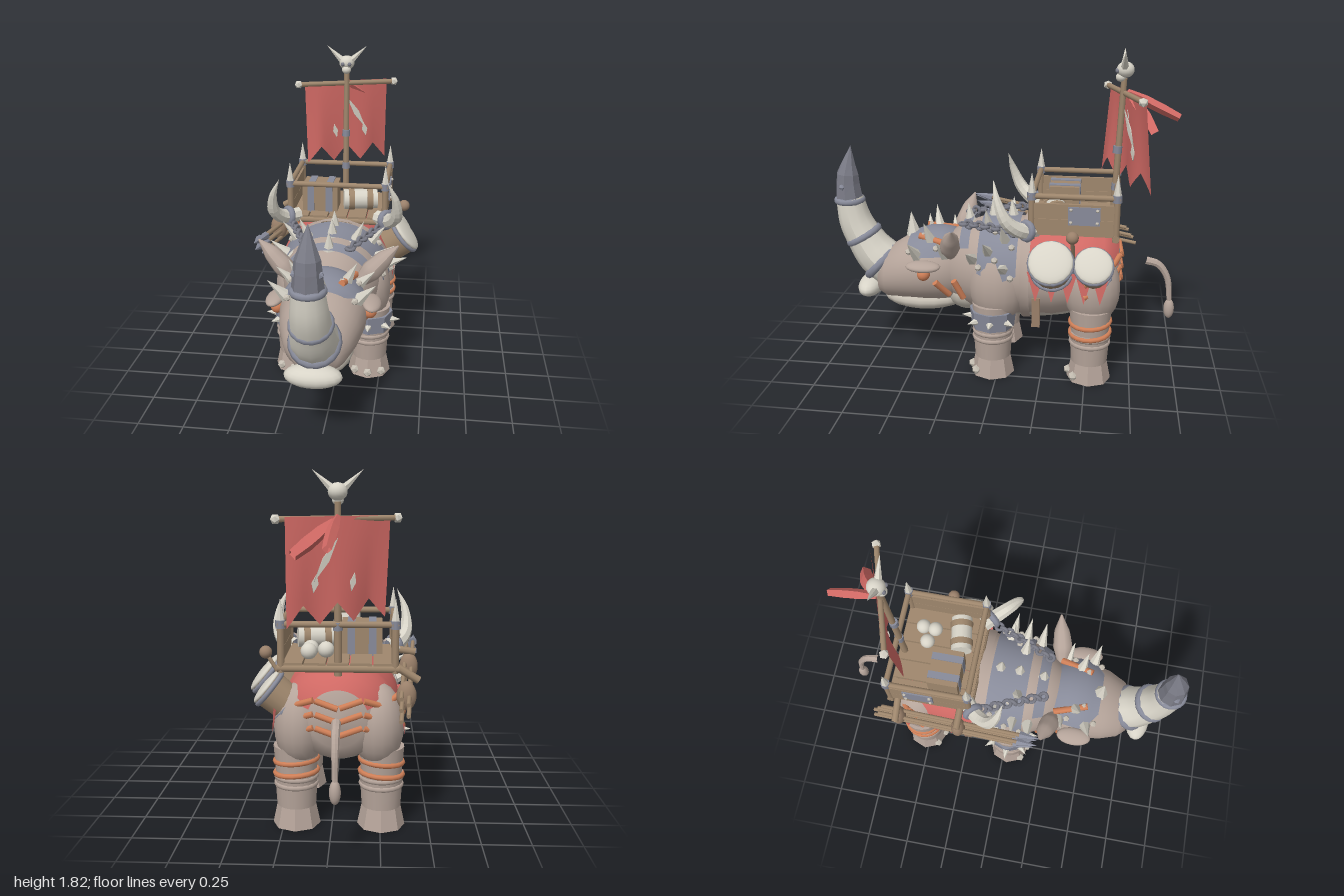
import * as THREE from 'three';

const V = (x, y, z) => new THREE.Vector3(x, y, z);
const paint = (name, color, side = THREE.FrontSide) => {
  const m = new THREE.MeshStandardMaterial({ color, side });
  m.name = name;
  return m;
};

export function createModel() {
  const skin = paint('hide', 0xb5a49a), belly = paint('belly', 0xc6bfb3), bone = paint('bone', 0xd8d4c8);
  const metal = paint('iron', 0x888b9a, THREE.DoubleSide), dark = paint('dark iron', 0x7a7b86);
  const red = paint('red cloth', 0xd06964, THREE.DoubleSide), orange = paint('orange paint', 0xd08058);
  const wood = paint('wood', 0x9f876d), leather = paint('leather', 0x9a806a);

  const root = new THREE.Group();
  root.name = 'warBeast';
  const model = new THREE.Group();
  model.position.x = -0.035;
  root.add(model);

  // ---- helpers ----
  const add = (name, geo, mat, p = V(0, 0, 0), parent = model) => {
    const m = new THREE.Mesh(geo, mat);
    m.name = name;
    m.position.copy(p);
    parent.add(m);
    return m;
  };
  const flat = g => { const f = g.toNonIndexed(); f.computeVertexNormals(); return f; };
  const box = (name, mat, p, w, h, d) => add(name, new THREE.BoxGeometry(w, h, d), mat, p);
  const ball = (name, mat, p, rx, ry = rx, rz = rx) => {
    const m = add(name, new THREE.SphereGeometry(1, 18, 12), mat, p);
    m.scale.set(rx, ry, rz);
    return m;
  };
  const stud = (name, mat, p, r) => add(name, new THREE.IcosahedronGeometry(r, 0), mat, p);
  const rod = (name, mat, a, b, r0, r1 = r0, seg = 8) => {
    const g = new THREE.CylinderGeometry(r1, r0, a.distanceTo(b), seg);
    const m = add(name, seg < 7 ? flat(g) : g, mat, a.clone().lerp(b, 0.5));
    m.quaternion.setFromUnitVectors(V(0, 1, 0), b.clone().sub(a).normalize());
    return m;
  };
  const spike = (name, mat, p, dir, len, r) => rod(name, mat, p, p.clone().addScaledVector(dir, len), r, 0, 6);
  const ring = (name, mat, p, dir, r, t) => {
    const m = add(name, new THREE.TorusGeometry(r, t, 8, 18), mat, p);
    m.quaternion.setFromUnitVectors(V(0, 0, 1), dir.clone().normalize());
    return m;
  };
  const both = fn => [-1, 1].forEach(fn);
  // tapered tube along a curve
  const sweep = (name, mat, pts, radii, seg = 10, n = 16) => {
    const c = new THREE.CatmullRomCurve3(pts), g = new THREE.TubeGeometry(c, n, 1, seg), pos = g.attributes.position;
    for (let i = 0; i < pos.count; i++) {
      const t = Math.floor(i / (seg + 1)) / n, k = t * (radii.length - 1), a = Math.min(Math.floor(k), radii.length - 2);
      const q = c.getPointAt(t);
      const r = THREE.MathUtils.lerp(radii[a], radii[a + 1], k - a);
      pos.setXYZ(i, ...V().fromBufferAttribute(pos, i).sub(q).multiplyScalar(r).add(q).toArray());
    }
    g.computeVertexNormals();
    return add(name, seg < 9 ? flat(g) : g, mat);
  };
  // point on a profile of [z, centre y, half width, half height], angle measured from the top
  const surf = (prof, z, a, d = 0) => {
    let i = 0;
    while (i < prof.length - 2 && prof[i + 1][0] < z) i++;
    const t = THREE.MathUtils.clamp((z - prof[i][0]) / (prof[i + 1][0] - prof[i][0]), 0, 1);
    const [, yc, rx, ry] = prof[i].map((v, k) => THREE.MathUtils.lerp(v, prof[i + 1][k], t));
    return V((rx + d) * Math.sin(a), yc + (ry + d) * Math.cos(a), z);
  };
  const shell = (name, mat, prof, zs, half, d, seg = 24) => {
    const pos = [], idx = [];
    zs.forEach(z => {
      const h = half(z);
      for (let j = 0; j <= seg; j++) pos.push(...surf(prof, z, h * (2 * j / seg - 1), d).toArray());
    });
    for (let i = 0; i < zs.length - 1; i++) for (let j = 0; j < seg; j++) {
      const a = i * (seg + 1) + j, b = a + seg + 1;
      idx.push(a, b, a + 1, b, b + 1, a + 1);
    }
    const g = new THREE.BufferGeometry();
    g.setAttribute('position', new THREE.Float32BufferAttribute(pos, 3));
    g.setIndex(idx);
    g.computeVertexNormals();
    return add(name, g, mat);
  };
  const steps = (a, b, n) => Array.from({ length: n + 1 }, (_, i) => a + (b - a) * i / n);
  const out = (a, z = 0) => V(Math.sin(a), Math.cos(a), z).normalize();

  // ---- body and head ----
  const body = [[-.68, .6, .01, .01], [-.665, .6, .14, .14], [-.62, .6, .22, .21], [-.5, .6, .275, .25], [-.3, .58, .3, .275],
    [-.05, .58, .305, .285], [.12, .58, .28, .275], [.22, .58, .23, .24], [.34, .57, .16, .17], [.4, .56, .01, .01]];
  const head = [[.2, .56, .01, .01], [.23, .56, .16, .16], [.28, .56, .2, .2], [.36, .56, .228, .212], [.45, .555, .235, .21],
    [.58, .53, .21, .185], [.68, .5, .17, .15], [.73, .48, .12, .11], [.76, .47, .01, .01]];
  shell('torso', skin, body, body.map(s => s[0]), () => Math.PI, 0, 32);
  shell('head', skin, head, head.map(s => s[0]), () => Math.PI, 0, 32);
  ball('bellyPatch', belly, V(0, .44, -.18), .22, .155, .4);
  ball('throat', belly, V(0, .43, .2), .18, .13, .14);
  ball('lowerJaw', belly, V(0, .365, .47), .17, .075, .25);
  ball('noseLip', bone, V(0, .405, .8), .15, .06, .075);
  both(s => {
    ball('eye', orange, V(s * .25, .585, .42), .037);
    const lid = ball('eyelid', skin, V(s * .26, .635, .42), .052, .026, .1);
    lid.rotation.z = -s * .2;
    sweep('ear', skin, [V(s * .17, .68, .28), V(s * .25, .76, .265), V(s * .32, .83, .245), V(s * .385, .89, .23)], [.03, .058, .046, .004], 10);
    rod('cheekStripe', orange, surf(head, .36, s * 1.7, .006), surf(head, .29, s * 2.2, .008), .018);
    rod('neckStripe', orange, surf(body, .25, s * 1.68, .03), surf(body, .2, s * 2.15, .012), .018);
    rod('browStripe', orange, surf(head, .28, s * .75, .035), surf(head, .47, s * .42, .025), .019);
  });

  // ---- great horn ----
  sweep('greatHorn', bone, [V(0, .52, .66), V(0, .6, .76), V(0, .7, .83), V(0, .8, .88), V(0, .94, .91)], [.13, .125, .107, .095, .08], 12);
  sweep('hornCap', dark, [V(0, .92, .91), V(0, 1.07, .915), V(0, 1.255, .888)], [.082, .064, 0], 8, 6);
  ring('hornBand', metal, V(0, .93, .91), V(0, 1, 0), .072, .02);
  ring('hornBand', metal, V(0, .715, .835), V(0, .8, .45), .094, .022);
  ring('hornBand', metal, V(0, .56, .73), V(0, .7, .75), .112, .028);
  both(s => stud('capStud', metal, V(s * .06, 1.02, .93), .02));

  // ---- iron armour, spikes and collar ----
  shell('headPlate', metal, head, steps(.25, .54, 6), z => z < .46 ? 1.05 : 1.05 - (z - .46) * 6, .018, 14);
  shell('shoulderPlate', metal, body, steps(-.11, .11, 6), z => 1.58 - Math.abs(z) * 1.5, .02, 16);
  shell('neckPlate', metal, body, steps(.165, .225, 2), () => .95, .025, 16);
  spike('browSpike', bone, surf(head, .53, 0), V(0, 1, .1), .14, .045);
  [.05, -.06, .19].forEach(z => spike('backSpike', bone, surf(body, z, 0), V(0, 1, .1), .11, .035));
  both(s => {
    [[.4, .55], [.31, .95], [.47, .95]].forEach(([z, a]) => {
      spike('headSpike', bone, surf(head, z, s * a), out(s * a * .8, .2), .145, .036);
      stud('headStud', belly, surf(head, z + .05, s * (a - .12), .02), .02);
    });
    [[.06, .45], [-.04, .75], [.05, 1], [-.04, 1.3], [.14, 1.15]].forEach(([z, a]) => {
      spike('shoulderSpike', bone, surf(body, z, s * a), out(s * a * .9, .1), .145, .034);
      stud('shoulderStud', belly, surf(body, z - .04, s * (a + .15), .025), .02);
    });
    // chain from the tusk yoke to the collar
    for (let i = 0; i < 12; i++) {
      const t = i / 11;
      const p = V(s * (.27 - .15 * t), .85 + .01 * Math.sin(t * 3), -.15 + .36 * t);
      ring('chainLink', dark, p, i % 2 ? V(0, 1, 0) : V(1, 0, .4), .021, .01);
    }
    // side tusk with iron cuff
    sweep('sideTusk', bone, [V(s * .24, .88, -.21), V(s * .31, .89, -.14), V(s * .355, .95, -.065), V(s * .35, 1.06, -.015), V(s * .305, 1.17, .012)],
      [.045, .042, .035, .021, 0], 8);
    ring('tuskCuff', metal, V(s * .29, .885, -.165), V(s * .75, .15, .65), .042, .02);
  });
  shell('girth', skin, body, steps(-.18, -.13, 2), () => 2.7, .018);
  both(s => box('scabbard', leather, V(s * .285, .41, -.22), .03, .17, .045));

  // ---- legs ----
  both(s => [.03, -.52].forEach(z => {
    const front = z > 0, x = s * .22;
    add('foot', flat(new THREE.CylinderGeometry(.1, .124, .115, 8)), skin, V(x, .0575, z));
    add('shin', new THREE.CylinderGeometry(.113, .102, .18, 18), skin, V(x, .2, z));
    add('knee', new THREE.CylinderGeometry(.118, .105, .16, 18), skin, V(x, .35, z));
    [.225, .265].forEach(y => ring('skinFold', skin, V(x, y, z), V(0, 1, 0), .103, .015));
    for (const a of [-.75, 0, .75]) stud('toe', belly, V(x + Math.sin(a) * .115, .035, z + Math.cos(a) * .115), .027);
    if (front) {
      ball('shoulder', skin, V(s * .205, .53, .005), .13, .22, .165);
      add('legArmour', flat(new THREE.CylinderGeometry(.133, .122, .105, 8)), metal, V(x, .342, z));
      for (const a of [0, .8, 1.57, 2.4]) {
        const d = V(s * Math.sin(a), 0, Math.cos(a));
        spike('legSpike', bone, V(x, .34, z).addScaledVector(d, .11), d, .07, .024);
      }
    } else {
      ball('thigh', skin, V(s * .2, .54, z), .135, .22, .16);
      [.285, .35].forEach(y => ring('legRope', orange, V(x, y, z), V(s * .08, 1, .06), .11, .014));
    }
  }));

  // ---- tail ----
  sweep('tail', skin, [V(0, .64, -.82), V(0, .62, -.89), V(0, .54, -.945), V(0, .4, -.965)], [.024, .02, .017, .014], 8);
  ball('tailTuft', skin, V(0, .35, -.965), .028, .06, .03);

  // ---- saddle cloth, pennant fringe and rump ropes ----
  shell('saddleCloth', red, body, steps(-.665, -.17, 12), z => z < -.6 ? 1.2 : 1.5, .016, 28);
  both(s => steps(-.57, -.22, 4).forEach(z => {
    const m = rod('fringePennant', red, V(s * .315, .66, z), V(s * .338, .495, z), .055, 0, 4);
    m.geometry.rotateY(Math.PI / 4).scale(.2, 1, 1.25);
  }));
  for (let k = 0; k < 3; k++) {
    const pts = steps(-1.5, 1.5, 8).map((t, i) => V(.33 * Math.sin(t), .665 - k * .07 + (i % 2) * .04, -.46 - .222 * Math.cos(t)));
    for (let i = 0; i < 8; i++) rod('rumpRope', orange, pts[i], pts[i].clone().lerp(pts[i + 1], .92), .016);
  }

  // ---- howdah ----
  for (let i = 0; i < 5; i++) box('floorPlank', wood, V(-.228 + i * .114, .876, -.415), .106, .025, .47);
  both(s => {
    [-.19, -.64].forEach(z => {
      rod('cornerPost', wood, V(s * .28, .84, z), V(s * .28, 1.09, z), .018);
      rod('postBand', metal, V(s * .28, 1.06, z), V(s * .28, 1.1, z), .025);
      spike('postSpike', bone, V(s * .28, 1.09, z), V(0, 1, 0), .12, .024);
    });
    rod('sideRail', wood, V(s * .28, 1.08, -.17), V(s * .28, 1.08, -.66), .016);
    [.915, 1.0].forEach(y => box('sidePlank', wood, V(s * .28, y, -.415), .02, .083, .43));
    box('sidePlate', metal, V(s * .292, .98, -.47), .012, .1, .17);
    both(a => both(b => stud('plateStud', belly, V(s * .3, .98 + a * .035, -.47 + b * .07), .01)));
  });
  [-.19, -.64].forEach(z => {
    rod('crossRail', wood, V(-.3, 1.08, z), V(.3, 1.08, z), .016);
    rod('crossBeam', wood, V(-.3, .86, z), V(.3, .86, z), .02);
  });
  // cargo
  box('chest', wood, V(-.115, .965, -.345), .21, .17, .17);
  both(s => box('chestBand', metal, V(-.115 + s * .055, .967, -.345), .04, .176, .176));
  const bd = V(.098, 0, -.018), bc = V(.125, .96, -.31);
  rod('keg', bone, bc.clone().sub(bd), bc.clone().add(bd), .06, .06, 14);
  [-.55, .55].forEach(t => rod('kegBand', wood, bc.clone().addScaledVector(bd, t - .17), bc.clone().addScaledVector(bd, t + .17), .066, .066, 14));
  [[.065, -.5], [.15, -.54], [.145, -.47]].forEach(([x, z]) => ball('bonePile', bone, V(x, .925, z), .042));

  // ---- mast, skull and banner ----
  rod('mast', wood, V(0, .82, -.62), V(0, 1.67, -.65), .02, .016);
  [1.07, 1.28].forEach(y => rod('mastBand', metal, V(0, y - .02, -.63), V(0, y + .02, -.632), .025));
  ball('skull', bone, V(0, 1.715, -.655), .047, .043, .048);
  ball('skullSnout', bone, V(0, 1.675, -.632), .028, .025, .028);
  both(s => {
    ball('skullEye', dark, V(s * .02, 1.71, -.613), .012);
    spike('skullHorn', bone, V(s * .028, 1.73, -.65), V(s * .8, .75, 0).normalize(), .13, .022);
  });
  const arm = V(.285, 0, -.09), top = V(0, 1.59, -.655);
  rod('crossbar', wood, top.clone().sub(arm), top.clone().add(arm), .015);
  both(s => stud('barKnob', bone, top.clone().addScaledVector(arm, s), .026));
  const flag = new THREE.Group();
  flag.name = 'banner';
  flag.position.copy(top);
  flag.rotation.y = .306;
  model.add(flag);
  const wave = (u, v) => -.018 + .04 * (1 - 2 * u) * (.3 + v) + .012 * v * Math.sin(u * 11);
  const cloth = new THREE.PlaneGeometry(1, 1, 24, 10), cp = cloth.attributes.position;
  for (let i = 0; i < cp.count; i++) {
    const u = cp.getX(i) + .5, v = .5 - cp.getY(i);
    const jag = .4 + .1 * Math.abs(((u * 3) % 1) * 2 - 1) + .015 * u;
    cp.setXYZ(i, (u - .5) * .52 + .008 * v, .012 - v * jag, wave(u, v));
  }
  cloth.computeVertexNormals();
  add('bannerCloth', cloth, red, undefined, flag);
  // slash patches on both faces of the banner
  [[-.07, -.3, .016, .045, .2], [.065, -.19, .018, .12, .55], [.12, -.3, .018, .045, .2]].forEach(([x, y, w, h, r]) => both(s => {
    const d = new THREE.CylinderGeometry(1, 1, .005, 4);
    d.rotateX(Math.PI / 2);
    const m = add('bannerSlash', d, bone, V(x, y, wave(x / .52 + .5, -y / .45) + s * .008), flag);
    m.scale.set(w, h, 1);
    m.rotation.set(0, .18, r);
  }));
  sweep('streamer', red, [V(0, 1.6, -.67), V(.02, 1.54, -.8), V(.035, 1.47, -.95)], [.015, .028, .028, .022], 4, 6);
  sweep('streamer', red, [V(.02, 1.58, -.68), V(.11, 1.5, -.76), V(.2, 1.43, -.81)], [.015, .034, .038, .03], 4, 6);

  // ---- war drums on the left flank ----
  [[.412, .762, -.305, .12], [.375, .742, -.53, .102]].forEach(([x, y, z, r]) => {
    const n = V(.78, .63, 0).normalize(), c = V(x, y, z), at = t => c.clone().addScaledVector(n, t);
    rod('drumBody', wood, at(-.19), at(-.01), r * .88, r * .97, 16);
    const skinTop = ball('drumHead', bone, at(-.01), r, r * .22, r);
    skinTop.quaternion.setFromUnitVectors(V(0, 1, 0), n);
    [-.03, -.15].forEach(t => ring('drumHoop', metal, at(t), n, r * (.97 + t * .4), .013));
  });
  ball('drumstickHead', leather, V(.385, .89, -.415), .034);
  rod('drumstick', wood, V(.385, .89, -.415), V(.27, .7, -.42), .011);

  // ---- spear bundle on the right flank ----
  for (let i = 0; i < 5; i++) {
    const dx = (i % 2) * .035, dy = i * .024 - .05;
    const a = V(-.31 - dx, .68 + dy, -.77 + i * .015), b = V(-.37 - dx, .82 + dy, .08 + i * .01);
    rod('spearShaft', wood, a, b, .011);
    spike('spearTip', metal, b, b.clone().sub(a).normalize(), .12, .025);
  }
  [[-.34, .715, -.6], [-.365, .78, -.24]].forEach(([x, y, z]) => {
    ball('spearBinding', leather, V(x, y, z), .05, .075, .04);
    rod('spearBracket', wood, V(-.26, .88, z), V(-.4, y + .08, z), .02);
  });
  return root;
}
